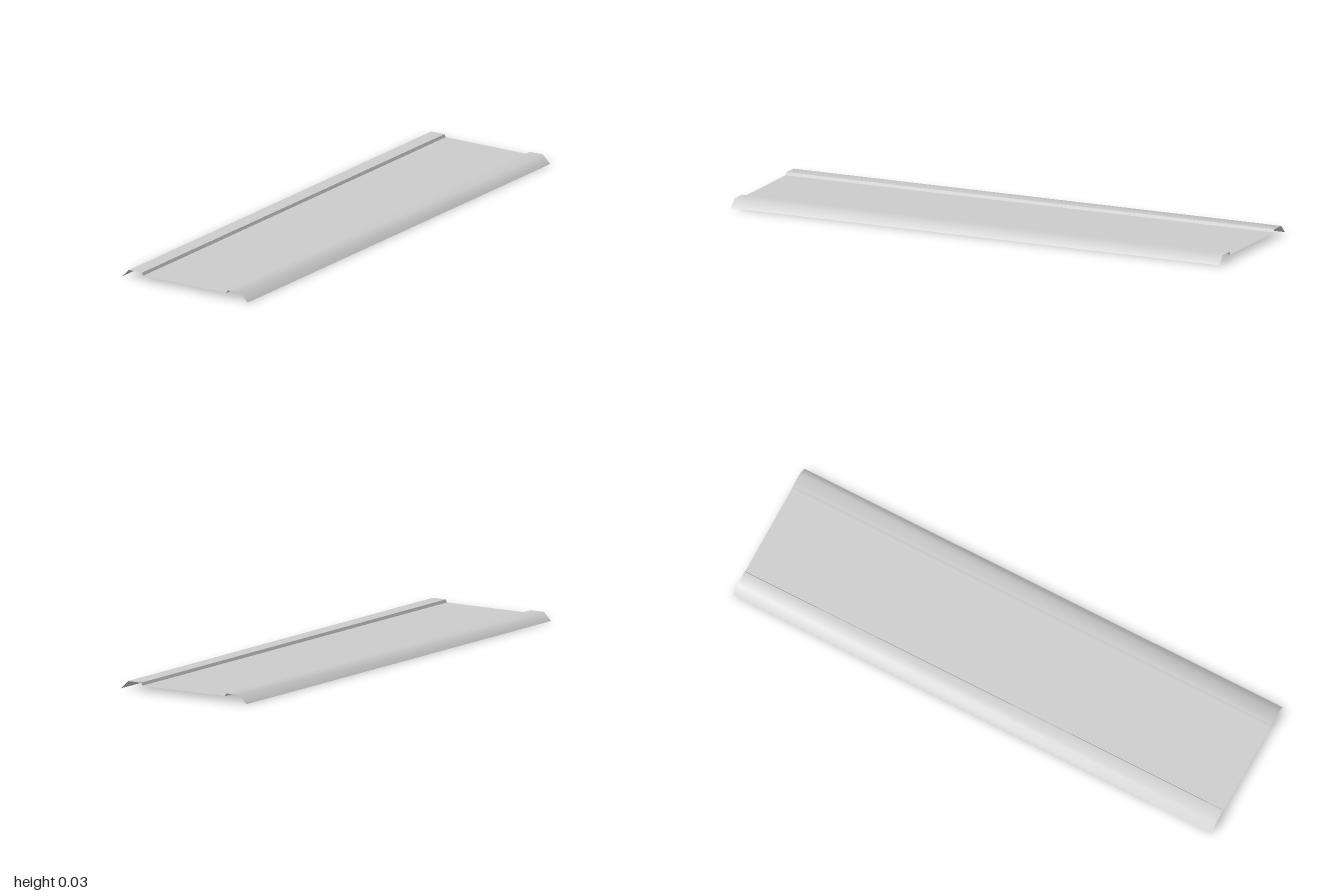
import * as THREE from 'three';

const LENGTH = 2;
const material = new THREE.MeshStandardMaterial({ color: 0xcccccc, side: THREE.DoubleSide });

// Sheet running along z, bent over a profile of [x, y] points listed from -x to +x
function sheet(name, profile) {
  const n = profile.length;
  const geometry = new THREE.PlaneGeometry(1, LENGTH, n - 1, 1).rotateX(-Math.PI / 2);
  const pos = geometry.attributes.position;
  for (let i = 0; i < pos.count; i++) {
    const [x, y] = profile[i % n];
    pos.setXY(i, x, y);
  }
  geometry.computeVertexNormals();
  const mesh = new THREE.Mesh(geometry, material);
  mesh.name = name;
  return mesh;
}

export function createModel() {
  const group = new THREE.Group();
  group.name = 'formedPanel';

  const floorX = 0.185, floorY = 0.02; // edge of the recessed floor
  const crestX = 0.19, crestY = 0.031; // inner edge of the raised rim
  const bendX = 0.248, edgeX = 0.28;   // rim bend and outer edge

  // Recessed flat floor
  group.add(sheet('floor', [[-floorX, floorY], [floorX, floorY]]));

  // Sharp step and softly bent rim on each side
  for (const [side, s] of [['left', 1], ['right', -1]]) {
    const step = [[floorX, floorY], [crestX, crestY]];
    const rim = [[crestX, crestY], [bendX, crestY], [edgeX, 0]];
    const place = (points) => {
      const placed = points.map(([x, y]) => [s * x, y]);
      return s > 0 ? placed : placed.reverse();
    };
    group.add(sheet(side + 'Step', place(step)));
    group.add(sheet(side + 'Rim', place(rim)));
  }
  return group;
}
